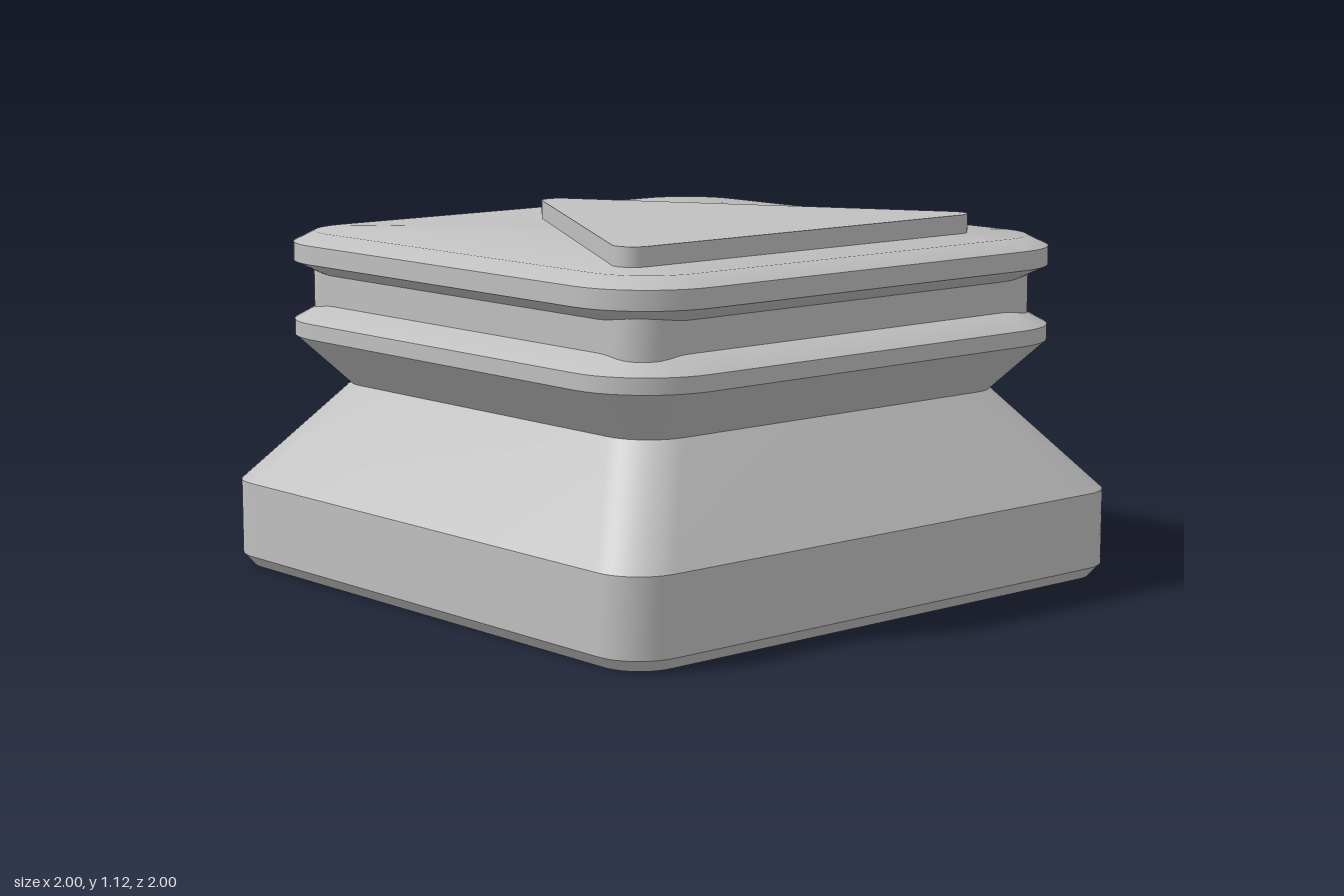
import * as THREE from 'three';
import { toCreasedNormals } from 'three/addons/utils/BufferGeometryUtils.js';

const ARC = 10; // segments per rounded corner

// Outline of a regular n-sided polygon with rounded corners: inradius and corner radius
function ring(n, inradius, r) {
  const pts = [];
  const R = (inradius - r) / Math.cos(Math.PI / n);
  for (let k = 0; k < n; k++) {
    const d = Math.PI / 2 - Math.PI / n + (k * 2 * Math.PI) / n;
    for (let s = 0; s <= ARC; s++) {
      const a = d + (s / ARC - 0.5) * (2 * Math.PI / n);
      pts.push([R * Math.cos(d) + r * Math.cos(a), R * Math.sin(d) + r * Math.sin(a)]);
    }
  }
  return pts;
}

// Closed solid through rounded sections, each [y, inradius, corner radius], bottom to top
function loft(n, sections) {
  const pos = [], idx = [];
  const count = n * (ARC + 1);
  for (const [y, inr, r] of sections) {
    for (const [x, z] of ring(n, inr, r)) pos.push(x, y, z);
  }
  const last = sections.length - 1;
  const bottom = count * sections.length, top = bottom + 1;
  pos.push(0, sections[0][0], 0, 0, sections[last][0], 0);
  for (let i = 0; i < count; i++) {
    const j = (i + 1) % count;
    for (let s = 0; s < last; s++) {
      const lo = s * count, up = lo + count;
      idx.push(lo + i, up + i, lo + j, lo + j, up + i, up + j);
    }
    idx.push(bottom, i, j, top, last * count + j, last * count + i);
  }
  const g = new THREE.BufferGeometry();
  g.setAttribute('position', new THREE.Float32BufferAttribute(pos, 3));
  g.setIndex(idx);
  return toCreasedNormals(g, 0.5);
}

export function createModel() {
  const group = new THREE.Group();
  const grey = new THREE.MeshStandardMaterial({ color: 0xc0c0c0 });
  grey.name = 'light grey';

  const add = (name, n, sections) => {
    const mesh = new THREE.Mesh(loft(n, sections), grey);
    mesh.name = name;
    group.add(mesh);
    return mesh;
  };

  // Square foot with chamfered underside, tapering to the neck
  add('base', 4, [[0, 0.97, 0.13], [0.037, 1, 0.15], [0.272, 1, 0.15], [0.585, 0.75, 0.15]]);
  // Flared lower collar
  add('lowerRim', 4, [[0.585, 0.75, 0.15], [0.74, 0.907, 0.27], [0.788, 0.907, 0.27], [0.835, 0.82, 0.18]]);
  // Recessed band between the collars
  add('channel', 4, [[0.82, 0.82, 0.12], [0.945, 0.82, 0.12]]);
  // Top plate with bevelled edges
  add('upperRim', 4, [[0.93, 0.82, 0.18], [0.972, 0.907, 0.27], [1.03, 0.907, 0.27], [1.062, 0.84, 0.2]]);
  // Raised rounded triangle pointing to the back
  add('triangle', 3, [[1.05, 0.43, 0.06], [1.12, 0.43, 0.06]]).position.z = 0.21;

  return group;
}
